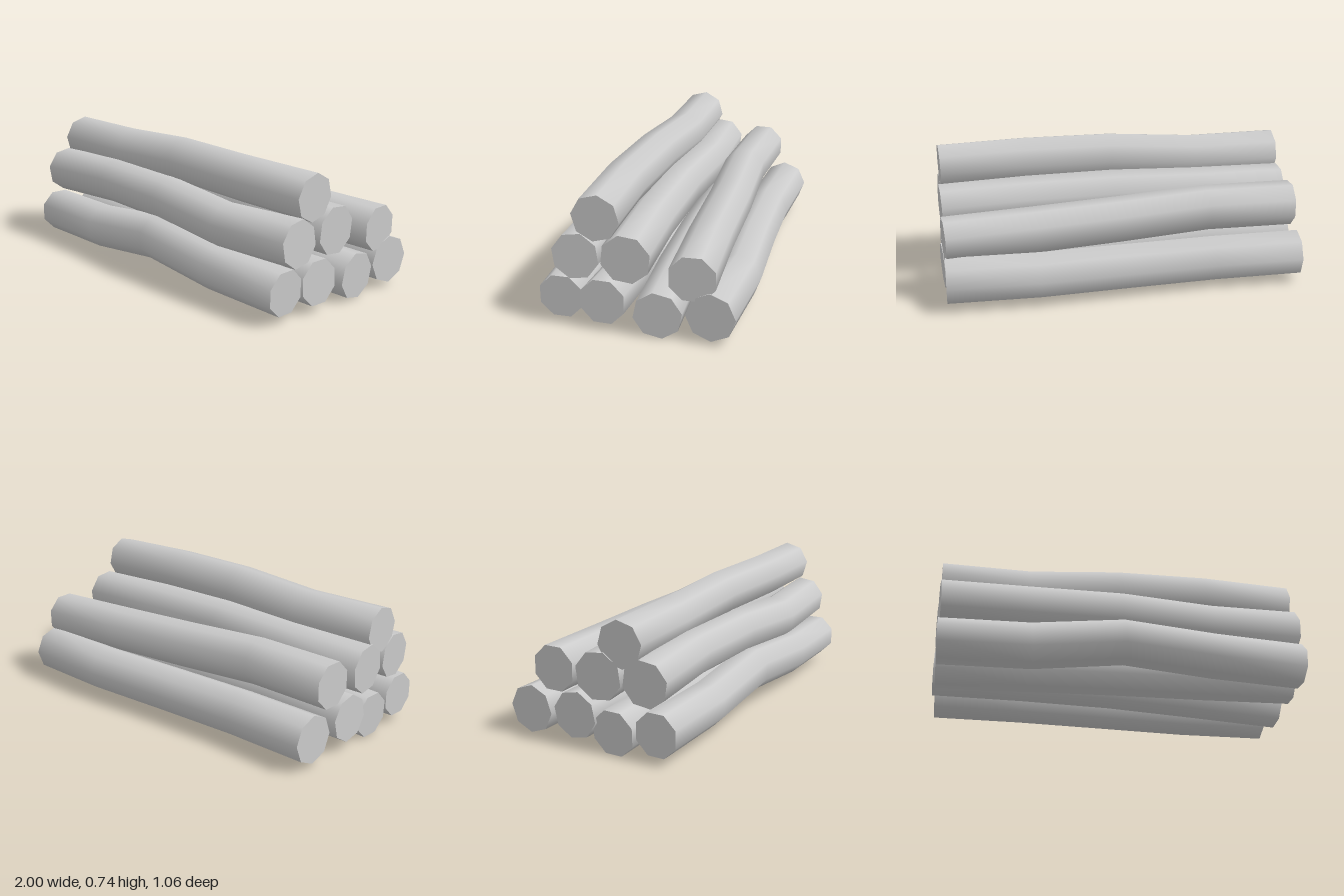
import * as THREE from 'three';

const SIDES = 8;

// One log: octagonal rings swept along a slightly bent path, closed by flat caps
function logGeometry({ ends, y, z, radius, turn }) {
  const pos = [], index = [];
  const last = y.length - 1;
  const xAt = (i) => THREE.MathUtils.lerp(ends[0], ends[1], i / last);
  const slope = (a, i) => {
    const lo = Math.max(i - 1, 0), hi = Math.min(i + 1, last);
    return (a[hi] - a[lo]) / (xAt(hi) - xAt(lo));
  };
  const addRing = (i) => {
    const start = pos.length / 3;
    for (let k = 0; k < SIDES; k++) {
      const a = ((k + 0.5) / SIDES) * Math.PI * 2 + turn;
      const dy = Math.sin(a) * radius, dz = -Math.cos(a) * radius;
      // lean each ring so that it stays square to the path
      pos.push(xAt(i) - slope(y, i) * dy - slope(z, i) * dz, y[i] + dy, z[i] + dz);
    }
    return start;
  };
  // bark
  for (let i = 0; i <= last; i++) {
    const start = addRing(i);
    if (i === 0) continue;
    for (let k = 0; k < SIDES; k++) {
      const n = (k + 1) % SIDES;
      const a = start - SIDES + k, b = start - SIDES + n, c = start + n, d = start + k;
      index.push(a, c, d, a, b, c);
    }
  }
  // sawn ends, with their own vertices for a sharp rim
  for (const i of [0, last]) {
    const s = addRing(i);
    for (let k = 1; k < SIDES - 1; k++) {
      if (i === 0) index.push(s, s + k + 1, s + k);
      else index.push(s, s + k, s + k + 1);
    }
  }
  // make every triangle face outwards
  const g = new THREE.BufferGeometry();
  g.setAttribute('position', new THREE.Float32BufferAttribute(pos, 3));
  g.setIndex(index);
  g.computeVertexNormals();
  return g;
}

// Path heights and depths run from the right end (-x) to the left end (+x)
const LOGS = [
  { name: 'bottomLogFront', ends: [-0.985, 0.975], radius: 0.122, turn: 0,
    y: [0.165, 0.17, 0.225, 0.18, 0.165], z: [0.37, 0.385, 0.4, 0.41, 0.395] },
  { name: 'bottomLogMiddleFront', ends: [-0.98, 0.99], radius: 0.125, turn: 0,
    y: [0.125, 0.145, 0.155, 0.16, 0.17], z: [0.12, 0.14, 0.15, 0.16, 0.17] },
  { name: 'bottomLogMiddleBack', ends: [-0.99, 0.995], radius: 0.128, turn: -0.22,
    y: [0.185, 0.18, 0.17, 0.15, 0.135], z: [-0.1, -0.085, -0.08, -0.09, -0.12] },
  { name: 'bottomLogBack', ends: [-0.97, 0.99], radius: 0.13, turn: -0.36,
    y: [0.16, 0.155, 0.155, 0.16, 0.16], z: [-0.385, -0.365, -0.38, -0.41, -0.39] },
  { name: 'middleLogFront', ends: [-0.985, 0.98], radius: 0.126, turn: 0.15,
    y: [0.415, 0.43, 0.425, 0.385, 0.4], z: [0.31, 0.29, 0.31, 0.33, 0.31] },
  { name: 'middleLogCentre', ends: [-0.99, 0.985], radius: 0.132, turn: -0.12,
    y: [0.415, 0.425, 0.43, 0.425, 0.415], z: [0.045, 0.025, 0.06, 0.065, 0.045] },
  { name: 'middleLogBack', ends: [-0.97, 0.99], radius: 0.126, turn: 0,
    y: [0.405, 0.405, 0.385, 0.365, 0.355], z: [-0.235, -0.22, -0.25, -0.265, -0.298] },
  { name: 'topLog', ends: [-0.985, 0.975], radius: 0.125, turn: 0.27,
    y: [0.595, 0.595, 0.625, 0.622, 0.613], z: [0.17, 0.165, 0.19, 0.215, 0.2] },
];

export function createModel() {
  const group = new THREE.Group();
  group.name = 'logPile';
  const material = new THREE.MeshStandardMaterial({ color: 0xcccccc });
  for (const log of LOGS) {
    const mesh = new THREE.Mesh(logGeometry(log), material);
    mesh.name = log.name;
    group.add(mesh);
  }
  return group;
}
